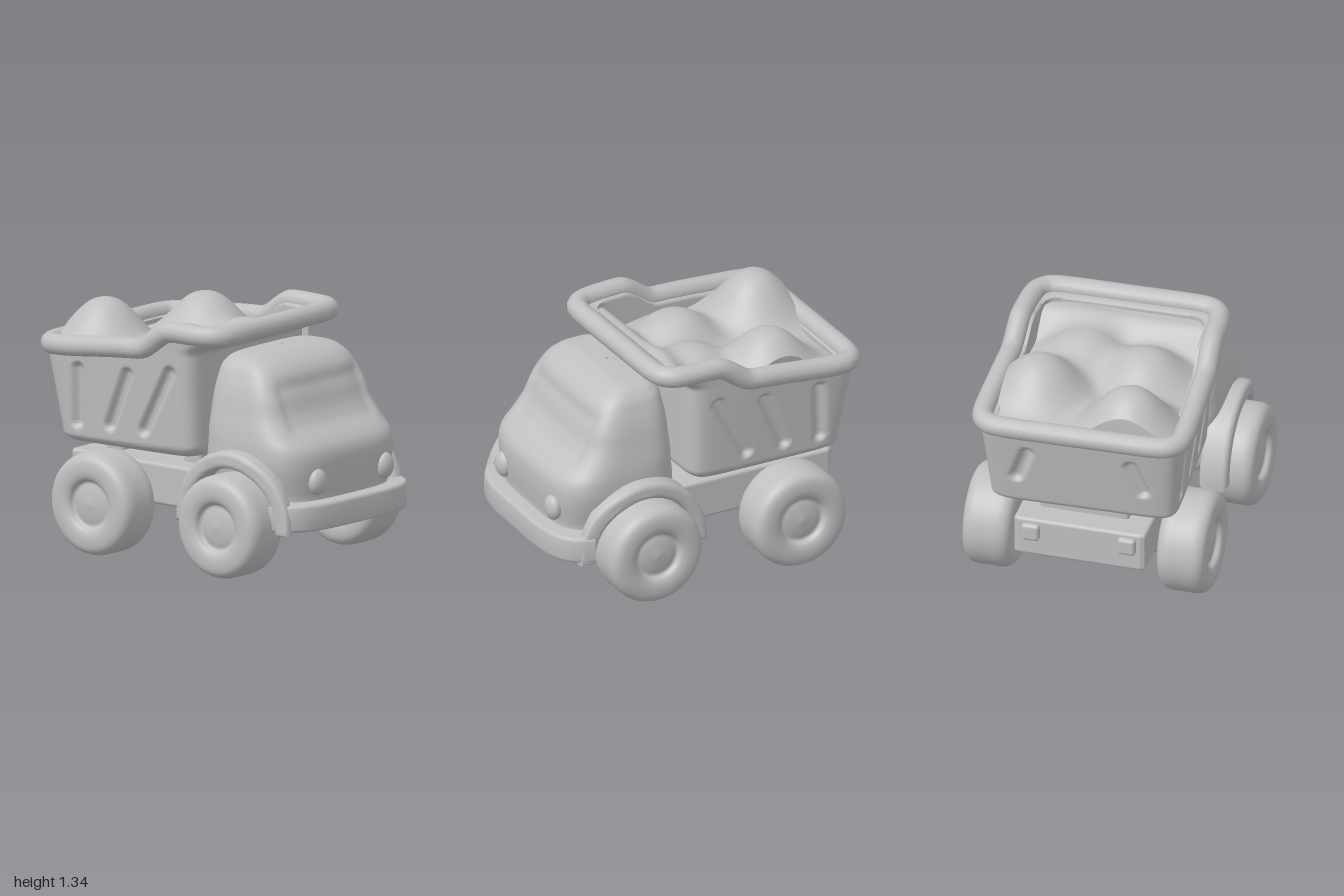
import * as THREE from 'three';
import { toCreasedNormals } from 'three/addons/utils/BufferGeometryUtils.js';
import { RoundedBoxGeometry } from 'three/addons/geometries/RoundedBoxGeometry.js';

const { smoothstep, lerp, degToRad } = THREE.MathUtils;
const grey = new THREE.MeshStandardMaterial({ color: 0xbfbfbf });
grey.name = 'grey plastic';

// Point on a rounded rectangle (superellipse) at an angle
function ringPoint(angle, a, b, n) {
  const c = Math.cos(angle), s = Math.sin(angle);
  const r = Math.pow(Math.abs(c / a) ** n + Math.abs(s / b) ** n, -1 / n);
  return [r * c, r * s];
}

// Closed rings stacked along s; point(s, angle) gives [x, y, z]
function loft(rings, segments, crease, point) {
  const pos = [], index = [];
  for (let i = 0; i <= rings; i++)
    for (let j = 0; j < segments; j++) pos.push(...point(i / rings, (j / segments) * Math.PI * 2));
  for (let i = 0; i < rings; i++)
    for (let j = 0; j < segments; j++) {
      const k = (j + 1) % segments, a = i * segments + j, b = i * segments + k;
      index.push(a, a + segments, b, b, a + segments, b + segments);
    }
  const g = new THREE.BufferGeometry();
  g.setAttribute('position', new THREE.Float32BufferAttribute(pos, 3));
  g.setIndex(index);
  return toCreasedNormals(g, crease);
}

// Height of the dump bed's edge: low at the rear, stepped up at the front
const edgeHeight = (x) => 1.108 + 0.055 * smoothstep(x, -0.9, -0.1) + 0.117 * smoothstep(x, -0.2, 0.03);
// The bed narrows slightly towards the front
const bedTaper = (x) => 1 - 0.07 * (x + 0.26);

function segmentDistance(px, py, [ax, ay, bx, by]) {
  const dx = bx - ax, dy = by - ay;
  const t = THREE.MathUtils.clamp(((px - ax) * dx + (py - ay) * dy) / (dx * dx + dy * dy), 0, 1);
  return Math.hypot(px - ax - t * dx, py - ay - t * dy);
}

const sideGrooves = [[-0.63, 0.7, -0.61, 1.0], [-0.41, 0.71, -0.28, 1.01], [-0.18, 0.71, 0, 1.05]];
const rearGrooves = [[-0.34, 0.78, -0.28, 0.95], [0.34, 0.78, 0.28, 0.95]];

function bedGeometry() {
  return loft(90, 300, 1.2, (s, angle) => {
    // floor, outer wall, then lip and inner wall
    const wall = Math.min(Math.max((s - 0.06) / 0.74, 0), 1);
    const inner = Math.max((s - 0.8) / 0.2, 0);
    const x0 = -0.77 - 0.09 * wall, x1 = 0.14 + 0.02 * wall + 0.16 * smoothstep(wall, 0.82, 1);
    const shrink = s < 0.06 ? Math.max(s / 0.06, 0.002) : 1;
    const inset = 0.08 * Math.min(inner * 5, 1) + 0.045 * Math.max(1 - wall / 0.09, 0) ** 2;
    const w = 0.505 + 0.045 * wall;
    const p = ringPoint(angle, (x1 - x0) / 2 - inset, w - inset, 11);
    let x = (x0 + x1) / 2 + p[0] * shrink, z = p[1] * shrink;
    const y = lerp(0.58, edgeHeight(x), wall) - 0.25 * Math.max(inner - 0.2, 0);
    if (inner === 0 && wall > 0) {
      const dent = (list, a) =>
        0.035 * (1 - smoothstep(Math.min(...list.map((g) => segmentDistance(a, y, g))), 0.012, 0.046));
      if (Math.abs(z) > w * 0.93) z -= Math.sign(z) * dent(sideGrooves, x);
      else if (x < -0.6) x += dent(rearGrooves, z);
    }
    return [x, y, z * bedTaper(x)];
  });
}

// Cab profile: y, back, front, half width
const cabProfile = [
  [0.3, 0.5, 0.51, 0.01], [0.3, 0.16, 0.84, 0.42], [0.45, 0.15, 0.87, 0.455], [0.6, 0.15, 0.885, 0.49],
  [0.7, 0.16, 0.87, 0.492], [0.78, 0.165, 0.8, 0.483], [0.87, 0.175, 0.735, 0.465], [0.97, 0.185, 0.695, 0.445],
  [1.06, 0.2, 0.645, 0.415], [1.13, 0.22, 0.585, 0.375], [1.175, 0.28, 0.49, 0.29], [1.185, 0.38, 0.39, 0.01]];

function cabGeometry() {
  const back = new THREE.CatmullRomCurve3(cabProfile.map((p) => new THREE.Vector3(p[1], p[0], p[3])), false, 'catmullrom');
  const front = new THREE.CatmullRomCurve3(cabProfile.map((p) => new THREE.Vector3(p[2], p[0], 0)), false, 'catmullrom');
  return loft(77, 140, 0.9, (s, angle) => {
    const b = back.getPoint(s), f = front.getPoint(s);
    const half = Math.max((f.x - b.x) / 2, 0.003);
    const p = ringPoint(angle, half, Math.max(b.z, 0.003), 4);
    let x = (b.x + f.x) / 2 + p[0];
    // softly recessed windscreen
    if (p[0] > half * 0.6) {
      const tall = smoothstep(b.y, 0.75, 0.82) * (1 - smoothstep(b.y, 1.0, 1.09));
      x -= 0.025 * tall * (1 - smoothstep(Math.abs(p[1]), 0.31, 0.38));
    }
    return [x, b.y, p[1]];
  });
}

function rimGeometry() {
  const points = [];
  for (let i = 0; i < 72; i++) {
    const [px, z] = ringPoint((i / 72) * Math.PI * 2, 0.594, 0.545, 10);
    const x = px - 0.256;
    points.push(new THREE.Vector3(x, edgeHeight(x) + 0.005, z * bedTaper(x)));
  }
  return new THREE.TubeGeometry(new THREE.CatmullRomCurve3(points, true), 240, 0.058, 14, true);
}

// Lumpy load: [x, z, height]
const mounds = [[-0.66, 0.24, 0.27], [-0.42, -0.32, 0.24], [-0.14, 0.2, 0.18], [-0.02, -0.18, 0.17]];
function loadGeometry() {
  const g = new THREE.PlaneGeometry(1.06, 0.98, 54, 48).rotateX(-Math.PI / 2).translate(-0.29, 0, 0);
  const p = g.attributes.position;
  for (let i = 0; i < p.count; i++) {
    const x = p.getX(i), z = p.getZ(i);
    const rise = mounds.map(([mx, mz, h]) => h * Math.exp(-((Math.hypot(x - mx, z - mz) / 0.23) ** 2.5)));
    // slopes up behind the cab
    p.setY(i, 1.07 + Math.hypot(...rise, 0.18 * smoothstep(x, 0.0, 0.19)));
    p.setZ(i, z * bedTaper(x));
  }
  g.computeVertexNormals();
  return g;
}

function wheelGeometry() {
  const profile = [[0, -0.11], [0.1, -0.12], [0.19, -0.138], [0.25, -0.128], [0.281, -0.085], [0.284, 0], [0.281, 0.085],
    [0.25, 0.128], [0.19, 0.138], [0.145, 0.126], [0.122, 0.098], [0.08, 0.106], [0, 0.118]];
  const curve = new THREE.SplineCurve(profile.map(([r, h]) => new THREE.Vector2(r, h)));
  const points = curve.getPoints(60).map((v) => new THREE.Vector2(Math.max(v.x, 0), v.y));
  return new THREE.LatheGeometry(points, 48).rotateX(Math.PI / 2);
}

function fenderGeometry() {
  const shape = new THREE.Shape();
  shape.absellipse(0, 0, 0.348, 0.37, 0, Math.PI, false);
  shape.absellipse(0, 0, 0.325, 0.335, Math.PI, 0, true);
  const g = new THREE.ExtrudeGeometry(shape, { depth: 0.1, bevelSize: 0.03, bevelThickness: 0.03, bevelSegments: 4, curveSegments: 32 });
  g.translate(0, 0, -0.05);
  // narrows towards the bumper
  const p = g.attributes.position;
  for (let i = 0; i < p.count; i++) p.setZ(i, p.getZ(i) * (1 - 0.6 * smoothstep(p.getX(i), 0.1, 0.38)));
  return toCreasedNormals(g, 0.8);
}

function bumperGeometry() {
  const outline = [];
  for (let i = -30; i <= 30; i++) {
    const [x, z] = ringPoint((i / 30) * 1.1, 0.435, 0.54, 4);
    outline.push(new THREE.Vector2(x + 0.5, z));
  }
  const g = new THREE.ExtrudeGeometry(new THREE.Shape(outline), { depth: 0.11, bevelSize: 0.02, bevelThickness: 0.02, bevelSegments: 3 });
  return toCreasedNormals(g.rotateX(-Math.PI / 2).translate(0, 0.295, 0), 0.8);
}

// Wheel centres: [x, z]
const wheels = [[0.485, 0.545], [0.42, -0.547], [-0.43, 0.524], [-0.46, -0.562]];

export function createModel() {
  const model = new THREE.Group();
  model.name = 'toyDumpTruck';
  const section = (name, angle, z) => {
    const group = new THREE.Group();
    group.name = name;
    group.rotation.y = degToRad(angle);
    group.translateZ(z);
    model.add(group);
    return group;
  };
  const truck = section('truckBody', -23.5, 0);
  const tipper = section('tipper', -22, -0.026);
  const add = (name, geometry, x = 0, y = 0, z = 0, parent = truck) => {
    const mesh = new THREE.Mesh(geometry, grey);
    mesh.name = name;
    mesh.position.set(x, y, z);
    parent.add(mesh);
    return mesh;
  };
  const box = (name, w, h, d, x, y, z) => add(name, new RoundedBoxGeometry(w, h, d, 3, 0.02), x, y, z);

  // Dump bed and load
  add('dumpBed', bedGeometry(), 0, 0, 0, tipper);
  add('bedRim', rimGeometry(), 0, 0, 0, tipper);
  add('load', loadGeometry(), 0, 0, 0, tipper);

  // Cab
  add('cab', cabGeometry(), 0, 0, -0.01);
  add('bumper', bumperGeometry(), 0, 0, -0.01);

  // Chassis, open underneath
  box('chassisTop', 1.1, 0.06, 0.72, -0.24, 0.475, -0.01);
  box('chassisRear', 0.06, 0.23, 0.72, -0.77, 0.39, -0.01);
  box('chassisFront', 0.06, 0.23, 0.72, 0.14, 0.39, -0.01);
  for (const x of [-0.6, -0.05]) box('bedSupport', 0.12, 0.12, 0.5, x, 0.54, -0.02);

  const fender = fenderGeometry();
  for (const side of [1, -1]) {
    box('chassisRail', 0.95, 0.23, 0.06, -0.32, 0.39, side * 0.34 - 0.01);
    box('tailLamp', 0.05, 0.1, 0.1, -0.805, 0.43, side * 0.27 - 0.01);
    add('fender', fender, 0.465 + side * 0.02, 0.288, side * 0.495 - 0.01);
    const lamp = add('headlight', new THREE.SphereGeometry(0.072, 24, 16), 0.872, 0.53, side * 0.282 - 0.015);
    lamp.scale.set(0.6, 1, 0.85);
  }

  // Wheels on short ball-ended axles
  const wheel = wheelGeometry();
  for (const [x, z] of wheels) {
    const side = Math.sign(z);
    add('wheel', wheel, x, 0.284, z).rotation.y = side > 0 ? 0 : Math.PI;
    add('axle', new THREE.CylinderGeometry(0.045, 0.045, 0.2, 16).rotateX(Math.PI / 2), x, 0.265, z - side * 0.17);
    add('axleBall', new THREE.SphereGeometry(0.085, 20, 14), x, 0.255, z - side * 0.24);
  }
  return model;
}
